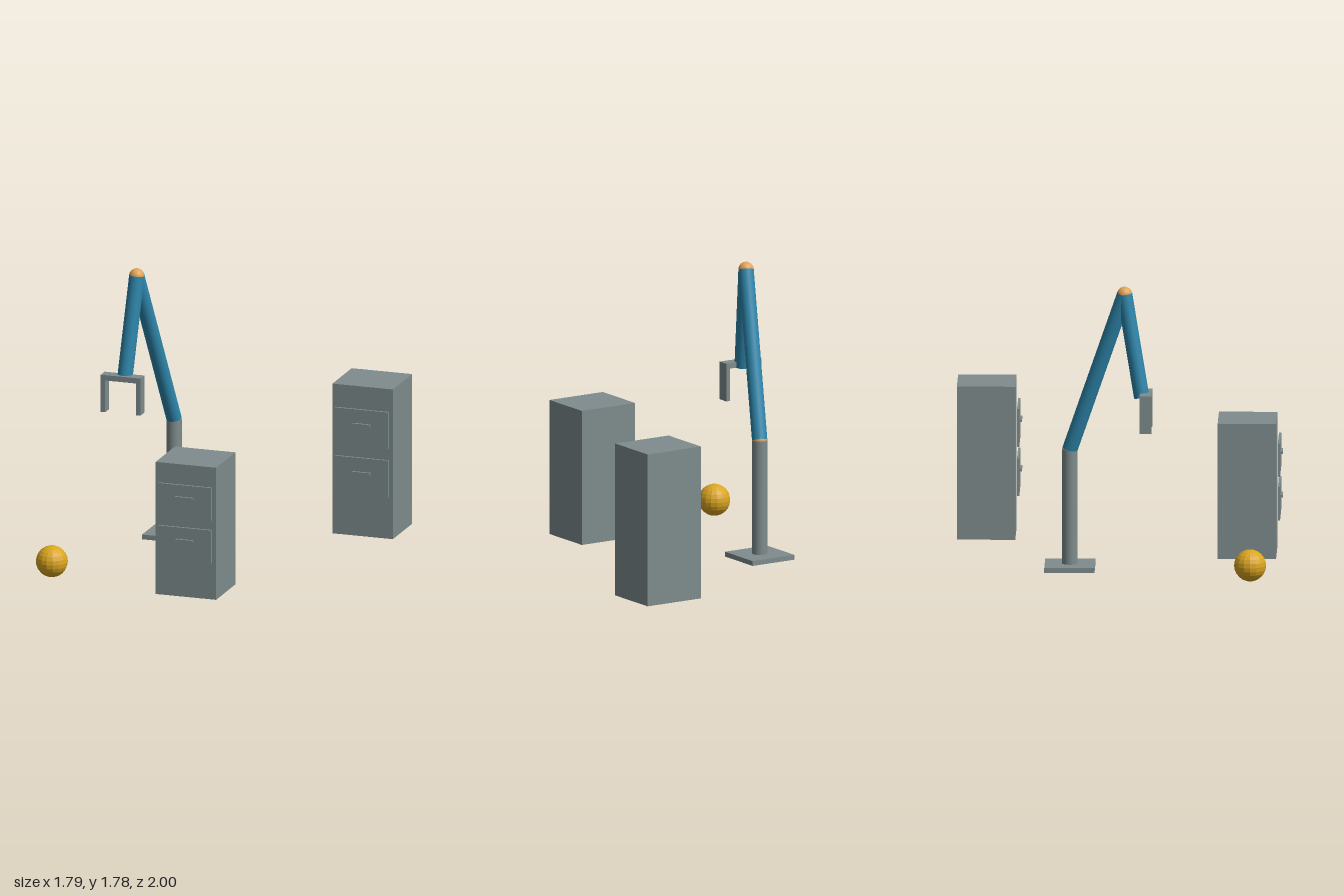
import * as THREE from 'three';

function material(name, color, flatShading = false) {
  const m = new THREE.MeshStandardMaterial({ color, flatShading });
  m.name = name;
  return m;
}

export function createModel() {
  const root = new THREE.Group();
  root.name = 'robotWorkcell';
  const grey = material('steelGrey', 0x7f8c8d);
  const blue = material('armBlue', 0x2e86ab);
  const orange = material('jointOrange', 0xe0a458);
  const gold = material('ballGold', 0xdaa520, true);

  function add(parent, name, geometry, mat, x, y, z) {
    const mesh = new THREE.Mesh(geometry, mat);
    mesh.name = name;
    mesh.position.set(x, y, z);
    parent.add(mesh);
    return mesh;
  }
  const box = (parent, name, w, h, d, x, y, z) =>
    add(parent, name, new THREE.BoxGeometry(w, h, d), grey, x, y, z);

  // Cylinder running between two points
  function limb(parent, name, from, to, radius, mat) {
    const dir = to.clone().sub(from);
    const mid = from.clone().add(to).multiplyScalar(0.5);
    const geometry = new THREE.CylinderGeometry(radius, radius, dir.length(), 32);
    const mesh = add(parent, name, geometry, mat, mid.x, mid.y, mid.z);
    mesh.quaternion.setFromUnitVectors(new THREE.Vector3(0, 1, 0), dir.normalize());
  }

  // Robot arm: base, column, two segments and ball joints
  const arm = new THREE.Group();
  arm.name = 'robotArm';
  root.add(arm);
  const R = 0.047;
  const foot = new THREE.Vector3(-0.398, 0.03, -0.291);
  const shoulder = new THREE.Vector3(-0.398, 0.74, -0.291);
  const elbow = new THREE.Vector3(-0.522, 1.729, 0.046);
  const wrist = new THREE.Vector3(-0.563, 1.097, 0.151);
  box(arm, 'basePlate', 0.307, 0.03, 0.307, foot.x, 0.015, foot.z);
  limb(arm, 'column', foot, shoulder, R, grey);
  limb(arm, 'upperArm', shoulder, elbow, R, blue);
  limb(arm, 'forearm', elbow, wrist, R, blue);
  for (const [name, p] of [['shoulderJoint', shoulder], ['elbowJoint', elbow]])
    add(arm, name, new THREE.SphereGeometry(R, 24, 16), orange, p.x, p.y, p.z);

  // Gripper: crossbar and two fingers
  const gripper = new THREE.Group();
  gripper.name = 'gripper';
  gripper.position.set(-0.5685, 0, 0.177);
  arm.add(gripper);
  box(gripper, 'gripperBar', 0.257, 0.034, 0.072, 0, 1.112, 0);
  for (const side of [-1, 1])
    box(gripper, 'gripperFinger', 0.029, 0.203, 0.072, side * 0.114, 0.9945, 0);

  // Cabinets with two drawers each; x and front z give the placing
  function cabinet(name, x, front, height, drawerHeight, drawerCentres) {
    const group = new THREE.Group();
    group.name = name;
    group.position.set(x, 0, front);
    root.add(group);
    box(group, 'cabinetBody', 0.391, height, 0.357, 0, height / 2, -0.1785);
    for (const y of drawerCentres) {
      box(group, 'drawerFront', 0.344, drawerHeight, 0.014, 0, y, 0.017);
      box(group, 'drawerHandle', 0.116, 0.016, 0.014, 0, y + 0.023, 0.031);
    }
  }
  cabinet('frontCabinet', 0.115, 0.962, 0.84, 0.208, [0.341, 0.611]);
  cabinet('backCabinet', 0.699, -0.643, 0.952, 0.236, [0.385, 0.692]);

  // Loose faceted ball
  add(root, 'ball', new THREE.SphereGeometry(0.098, 16, 12), gold, -0.802, 0.1, 0.818);

  return root;
}
